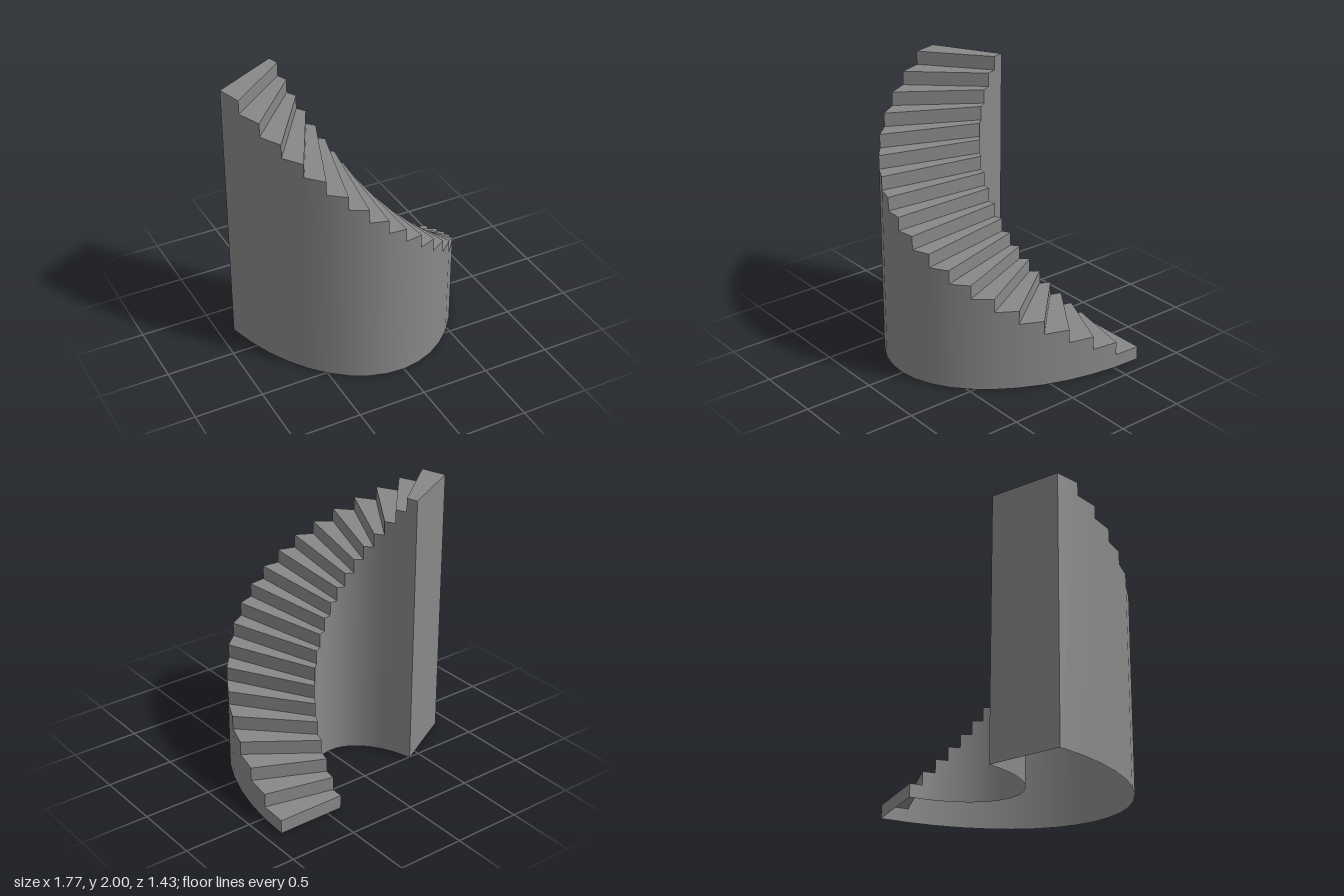
import * as THREE from 'three';

const STEPS = 20, RISE = 0.1, SWEEP = THREE.MathUtils.degToRad(161);
const CENTER = { x: -0.025, z: -0.715 };
const OUTER = { a: 0.912, b: 1.43 };
const INNER = { a: 0.41, b: 0.64 };

const angle = (k) => (k / STEPS) * SWEEP;

// Point on an elliptical edge at step line k and height y
function at(edge, k, y) {
  return [CENTER.x + edge.a * Math.cos(angle(k)), y, CENTER.z + edge.b * Math.sin(angle(k))];
}

// Horizontal normal of an elliptical edge at step line k
function normalAt(edge, k, sign) {
  const n = new THREE.Vector3(Math.cos(angle(k)) / edge.a, 0, Math.sin(angle(k)) / edge.b);
  return n.normalize().multiplyScalar(sign).toArray();
}

// Two triangles per quad, corners counter-clockwise from outside
const split = ([a, b, c, d]) => [a, b, c, a, c, d].flat();

function quadMesh(name, quads, normals) {
  const geometry = new THREE.BufferGeometry();
  geometry.setAttribute('position', new THREE.Float32BufferAttribute(quads.flatMap(split), 3));
  if (normals) geometry.setAttribute('normal', new THREE.Float32BufferAttribute(normals.flatMap(split), 3));
  else geometry.computeVertexNormals();
  const material = new THREE.MeshStandardMaterial({ color: 0x888888, side: THREE.DoubleSide });
  const mesh = new THREE.Mesh(geometry, material);
  mesh.name = name;
  return mesh;
}

// Curved side wall whose top follows the steps
function wall(name, edge, sign) {
  const quads = [], normals = [];
  for (let k = 0; k < STEPS; k++) {
    const top = (k + 1) * RISE;
    const [from, to] = sign > 0 ? [k + 1, k] : [k, k + 1];
    quads.push([at(edge, from, 0), at(edge, to, 0), at(edge, to, top), at(edge, from, top)]);
    const nFrom = normalAt(edge, from, sign), nTo = normalAt(edge, to, sign);
    normals.push([nFrom, nTo, nTo, nFrom]);
  }
  return quadMesh(name, quads, normals);
}

export function createModel() {
  const group = new THREE.Group();
  group.name = 'curvedStaircase';

  // Wedge treads and upright risers
  const treads = [], risers = [];
  for (let k = 0; k < STEPS; k++) {
    const low = k * RISE, high = low + RISE;
    treads.push([at(OUTER, k + 1, high), at(OUTER, k, high), at(INNER, k, high), at(INNER, k + 1, high)]);
    risers.push([at(OUTER, k, low), at(INNER, k, low), at(INNER, k, high), at(OUTER, k, high)]);
  }
  group.add(quadMesh('treads', treads), quadMesh('risers', risers));

  // Side walls down to the floor, open underneath
  group.add(wall('outerWall', OUTER, 1), wall('innerWall', INNER, -1));

  // Tall flat wall closing the upper end
  const top = STEPS * RISE;
  group.add(quadMesh('endWall', [[
    at(INNER, STEPS, 0), at(OUTER, STEPS, 0), at(OUTER, STEPS, top), at(INNER, STEPS, top),
  ]]));
  return group;
}
